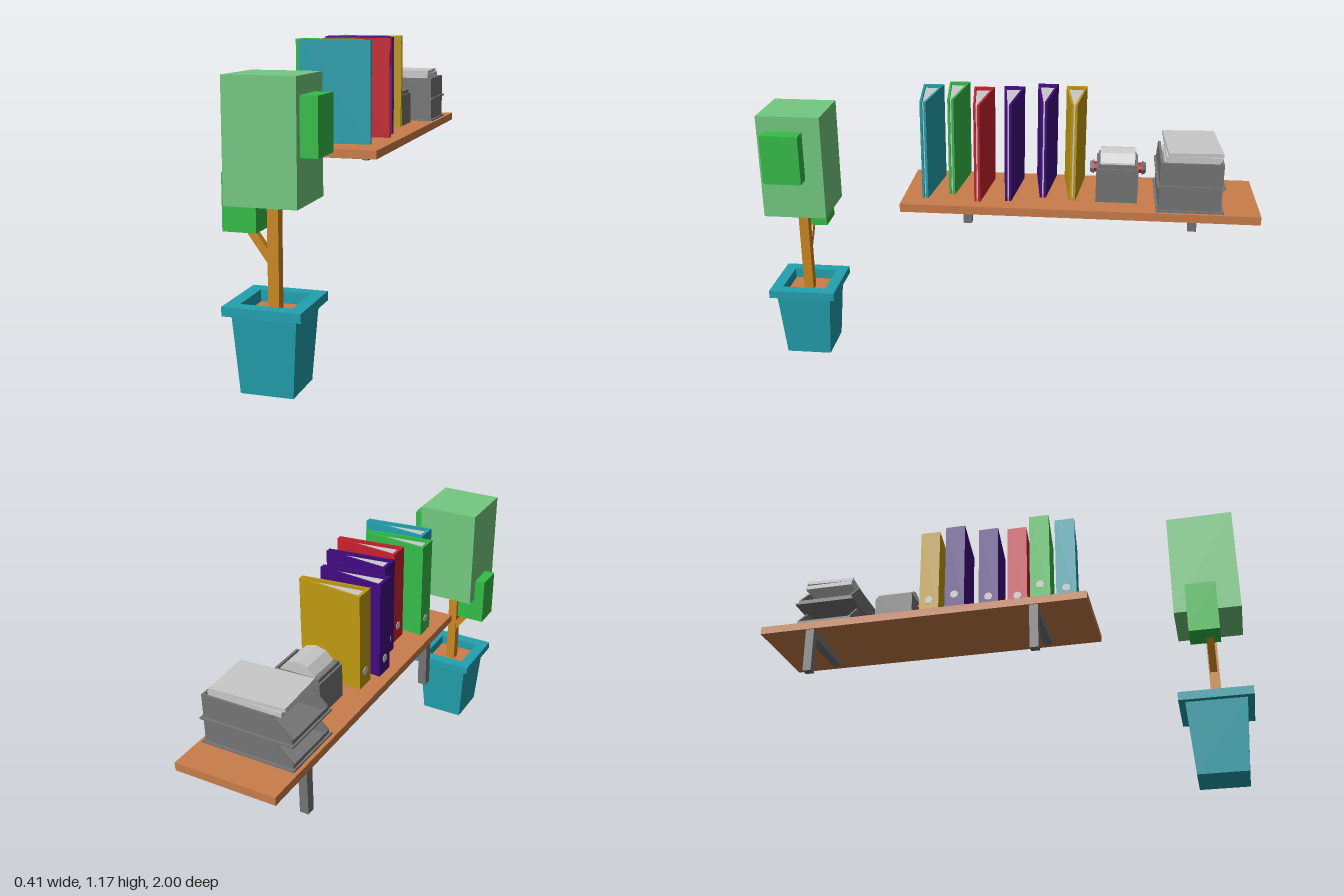
import * as THREE from 'three';

const mat = (name, color) => {
  const m = new THREE.MeshStandardMaterial({ color });
  m.name = name;
  return m;
};

export function createModel() {
  const teal = mat('teal', 0x22a2b0), leaf = mat('light green', 0x74c980), green = mat('green', 0x34bd49);
  const red = mat('red', 0xc9202f), purple = mat('purple', 0x420a80), yellow = mat('mustard', 0xc09a10);
  const bark = mat('bark', 0xcd8820), wood = mat('wood', 0xc97d4a);
  const metal = mat('grey', 0x757575), paper = mat('paper', 0xc9c9c9);

  const root = new THREE.Group();
  const group = (name, parent = root) => {
    const g = new THREE.Group();
    g.name = name;
    parent.add(g);
    return g;
  };
  const add = (parent, name, geo, m) => {
    const mesh = new THREE.Mesh(geo, m);
    mesh.name = name;
    parent.add(mesh);
    return mesh;
  };
  // Box given by its limits on each axis
  const box = (parent, name, m, x0, x1, y0, y1, z0, z1) => {
    const mesh = add(parent, name, new THREE.BoxGeometry(x1 - x0, y1 - y0, z1 - z0), m);
    mesh.position.set((x0 + x1) / 2, (y0 + y1) / 2, (z0 + z1) / 2);
    return mesh;
  };
  const outline = pts => new THREE.Shape(pts.map(p => new THREE.Vector2(p[0], p[1])));
  // Floor-plan shape raised from y0 to y1
  const raise = (shape, y0, y1) => {
    const g = new THREE.ExtrudeGeometry(shape, { depth: y1 - y0, bevelEnabled: false, curveSegments: 12 });
    return g.rotateX(-Math.PI / 2).translate(0, y0, 0);
  };
  const rect = (a, b) => [[-a, -b], [a, -b], [a, b], [-a, b]];
  const frame = (a, b, ia, ib) => {
    const s = outline(rect(a, b));
    s.holes.push(outline(rect(ia, ib)));
    return s;
  };

  // Shelf with two L-shaped brackets
  const shelf = group('shelf');
  box(shelf, 'shelfBoard', wood, -0.205, 0.2, 0.735, 0.768, -1, 0.4);
  for (const z of [0.182, -0.777]) {
    const bracket = group('bracket', shelf);
    box(bracket, 'bracketLeg', metal, -0.2, -0.165, 0.545, 0.735, z - 0.018, z + 0.018);
    box(bracket, 'bracketArm', metal, -0.165, 0.11, 0.702, 0.735, z - 0.018, z + 0.018);
  }

  // Wedge-shaped binders, spine towards -x
  const cover = outline([
    [0, -0.042], [0.27, -0.012], [0.27, -0.003], [0.012, -0.033],
    [0.012, 0.033], [0.27, 0.003], [0.27, 0.012], [0, 0.042],
  ]);
  const pages = outline([[0.012, -0.032], [0.245, -0.006], [0.245, 0.006], [0.012, 0.032]]);
  const binders = [
    [teal, -0.12, 0.305], [green, -0.17, 0.205], [red, -0.1, 0.095],
    [purple, -0.12, -0.025], [purple, -0.17, -0.158], [yellow, -0.148, -0.275],
  ];
  for (const [m, x, z] of binders) {
    const binder = group('binder');
    add(binder, 'binderCover', raise(cover, 0.778, 1.17), m);
    add(binder, 'binderPages', raise(pages, 0.785, 1.157), paper);
    const hole = add(binder, 'fingerHole', new THREE.CylinderGeometry(0.017, 0.017, 0.004, 12), paper);
    hole.rotation.z = Math.PI / 2;
    hole.position.y = 0.84;
    binder.position.set(x, 0, z);
  }

  // Rotary card file
  const file = group('cardFile');
  file.position.z = -0.448;
  add(file, 'fileHousing', raise(frame(0.1, 0.082, 0.088, 0.072), 0.768, 0.905), metal);
  add(file, 'fileRim', raise(frame(0.092, 0.076, 0.082, 0.07), 0.905, 0.92), metal);
  box(file, 'fileFloor', metal, -0.09, 0.09, 0.768, 0.79, -0.075, 0.075);
  const axle = (name, r0, r1, z0, z1, sides, m) => {
    const g = new THREE.CylinderGeometry(r1, r0, z1 - z0, sides).toNonIndexed();
    g.computeVertexNormals();
    const mesh = add(file, name, g.rotateX(Math.PI / 2), m);
    mesh.position.set(0, 0.882, (z0 + z1) / 2);
  };
  axle('cardDrum', 0.083, 0.083, -0.068, 0.068, 12, paper);
  axle('knobCollar', 0.022, 0.022, -0.1, -0.082, 8, red);
  axle('knobCollar', 0.022, 0.022, 0.082, 0.096, 8, red);
  axle('knob', 0.022, 0.03, -0.113, -0.097, 8, metal);
  axle('knob', 0.03, 0.022, 0.092, 0.108, 8, metal);

  // Two stacked letter trays, open and sloped at the -x end
  const trays = group('letterTrays');
  const side = outline([[-0.182, 0], [0.178, 0], [0.178, 0.094], [-0.1, 0.094], [-0.18, 0.02]]);
  for (const y of [0.768, 0.867]) {
    const tray = group('tray', trays);
    box(tray, 'trayBase', metal, -0.19, 0.186, y, y + 0.007, -0.86, -0.6);
    for (const z of [-0.849, -0.619]) {
      const wall = add(tray, 'traySide', new THREE.ExtrudeGeometry(side, { depth: 0.01, bevelEnabled: false }), metal);
      wall.position.set(0, y + 0.004, z);
    }
    box(tray, 'trayBack', metal, 0.168, 0.178, y, y + 0.098, -0.849, -0.609);
    box(tray, 'trayLip', metal, -0.182, -0.174, y, y + 0.022, -0.849, -0.609);
  }
  box(trays, 'paperStack', paper, -0.05, 0.155, 0.874, 0.968, -0.835, -0.625);
  box(trays, 'paperSheets', paper, -0.14, 0.155, 0.966, 0.984, -0.842, -0.63);
  const top = box(trays, 'topSheets', paper, -0.145, 0.15, 0.984, 0.998, -0.84, -0.632);
  top.rotation.y = 0.05;

  // Square plant pot
  const plant = group('plant');
  plant.position.set(-0.025, 0, 0.86);
  const pot = group('pot', plant);
  const k = Math.SQRT2;
  const body = new THREE.CylinderGeometry(0.115 * k, 0.095 * k, 0.28, 4, 1, true).toNonIndexed();
  body.computeVertexNormals();
  add(pot, 'potBody', body.rotateY(Math.PI / 4).translate(0, 0.14, 0), teal);
  box(pot, 'potBottom', teal, -0.095, 0.095, 0, 0.01, -0.095, 0.095);
  add(pot, 'potLining', raise(frame(0.11, 0.11, 0.092, 0.092), 0.25, 0.285), teal);
  add(pot, 'potRim', raise(frame(0.14, 0.14, 0.092, 0.092), 0.28, 0.313), teal);
  box(pot, 'soil', wood, -0.1, 0.1, 0.25, 0.27, -0.1, 0.1);

  // Trunk, branch and block foliage
  box(plant, 'trunk', bark, -0.02, 0.02, 0.265, 0.66, -0.018, 0.022);
  const branch = add(plant, 'branch', new THREE.BoxGeometry(0.028, 0.19, 0.028), bark);
  branch.position.set(-0.057, 0.51, 0);
  branch.rotation.z = 0.62;
  box(plant, 'mainFoliage', leaf, -0.13, 0.128, 0.652, 1.08, -0.13, 0.13);
  box(plant, 'lowerFoliage', green, -0.175, -0.052, 0.545, 0.748, -0.078, 0.04);
  box(plant, 'sideFoliage', green, 0.06, 0.19, 0.817, 1.018, -0.055, 0.1);

  return root;
}
